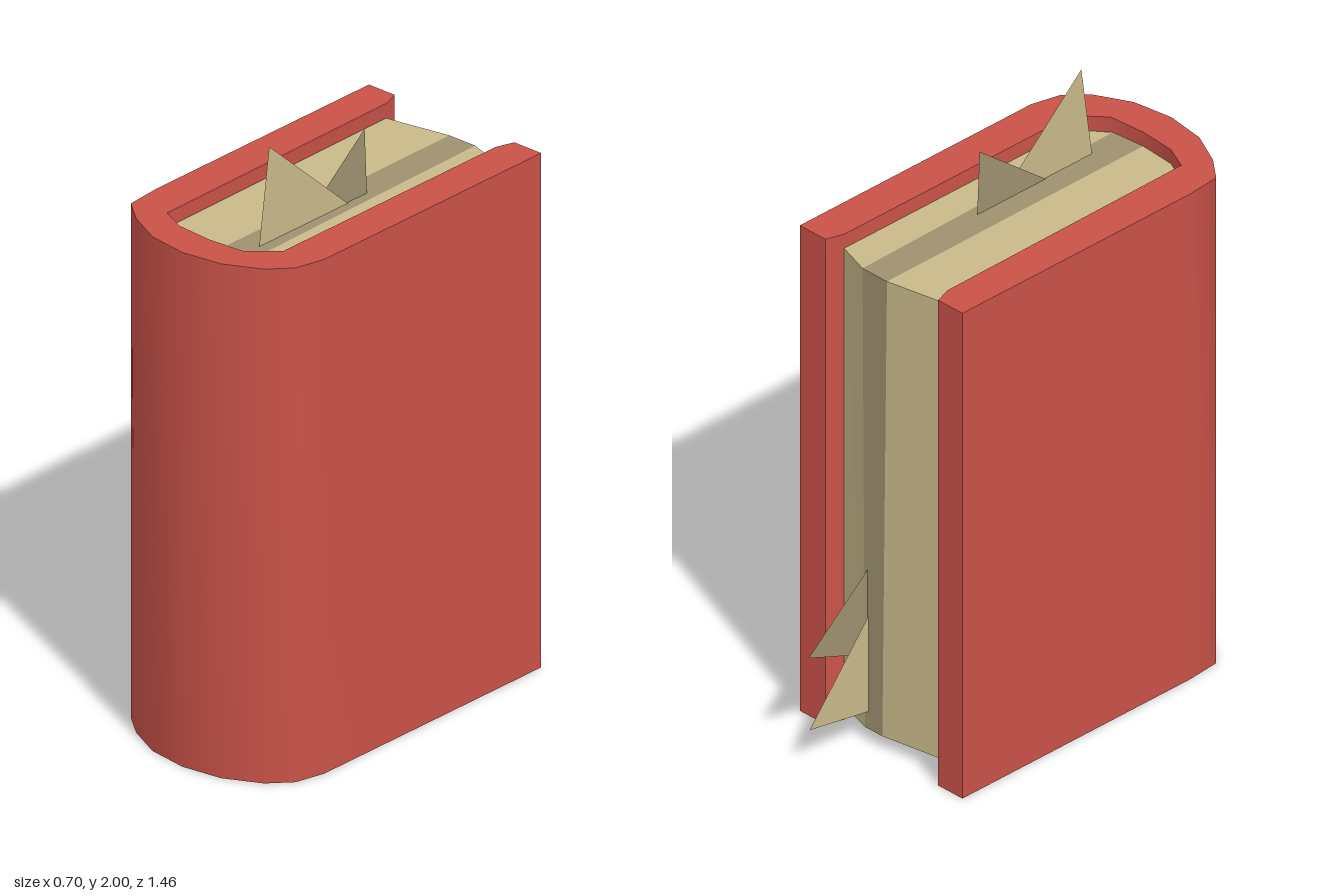
import * as THREE from 'three';
import { toCreasedNormals } from 'three/addons/utils/BufferGeometryUtils.js';

const RED = 0xc95248, LIGHT = 0xc9b98a, DARK = 0x9e916f;
const HEIGHT = 1.73, INSET = 0.05;

// Upright prism from an outline of [x, z] points
function prism(outline, y0, y1) {
  const shape = new THREE.Shape(outline.map(([x, z]) => new THREE.Vector2(x, -z)));
  const geo = new THREE.ExtrudeGeometry(shape, { depth: y1 - y0, bevelEnabled: false });
  return geo.rotateX(-Math.PI / 2).translate(0, y0, 0);
}

function addMesh(group, name, geo, color, extra = {}) {
  const mesh = new THREE.Mesh(geo, new THREE.MeshStandardMaterial({ color, ...extra }));
  mesh.name = name;
  group.add(mesh);
}

export function createModel() {
  const book = new THREE.Group();
  book.name = 'book';

  // Cover: two boards joined by a rounded spine
  const cover = prism([
    [-0.35, -0.5], [-0.35, 0.46], [-0.34, 0.585], [-0.26, 0.65], [-0.14, 0.71],
    [0, 0.73], [0.14, 0.71], [0.26, 0.65], [0.325, 0.58], [0.35, 0.48], [0.35, -0.5],
    [0.24, -0.5], [0.22, -0.44], [0.22, 0.52], [0.13, 0.6], [0, 0.61],
    [-0.13, 0.6], [-0.215, 0.56], [-0.225, -0.44], [-0.245, -0.5],
  ], 0, HEIGHT);
  addMesh(book, 'cover', toCreasedNormals(cover, 0.85), RED);

  // Page block: three sections, the middle one dark and narrower at the foot
  const sections = [
    ['rightPages', LIGHT, [[-0.225, -0.44], [-0.005, -0.48], [0, 0.61], [-0.13, 0.6], [-0.215, 0.56]]],
    ['middlePages', DARK, [[-0.005, -0.48], [0.1, -0.48], [0.12, 0.6], [0, 0.61]]],
    ['leftPages', LIGHT, [[0.1, -0.48], [0.22, -0.44], [0.22, 0.52], [0.12, 0.6]]],
  ];
  for (const [name, color, outline] of sections) {
    const geo = prism(outline, INSET, HEIGHT - INSET);
    const pos = geo.attributes.position;
    for (let i = 0; i < pos.count; i++) {
      const x = pos.getX(i);
      if (pos.getY(i) > 1) continue;
      if (Math.abs(x) < 0.01) pos.setX(i, x + 0.02);
      else if (x > 0.09 && x < 0.125) pos.setX(i, x - 0.01);
    }
    geo.computeVertexNormals();
    addMesh(book, name, geo, color, { flatShading: true });
  }

  // Loose page corners: flat triangles given as [z, y] points at a fixed x
  const corners = [
    ['topFrontCorner', LIGHT, 0.078, [[0.47, 1.68], [0.425, 2], [0.07, 1.68]]],
    ['topBackCorner', DARK, 0.074, [[0.27, 1.68], [-0.01, 1.9], [-0.02, 1.68]]],
    ['upperEdgeCorner', DARK, 0.078, [[-0.47, 0.625], [-0.73, 0.41], [-0.47, 0.31]]],
    ['lowerEdgeCorner', LIGHT, 0.074, [[-0.47, 0.465], [-0.73, 0.155], [-0.47, 0.11]]],
  ];
  for (const [name, color, x, pts] of corners) {
    const geo = new THREE.BufferGeometry().setFromPoints(
      pts.map(([z, y]) => new THREE.Vector3(x, y, z)));
    geo.computeVertexNormals();
    addMesh(book, name, geo, color, { side: THREE.DoubleSide });
  }
  return book;
}
